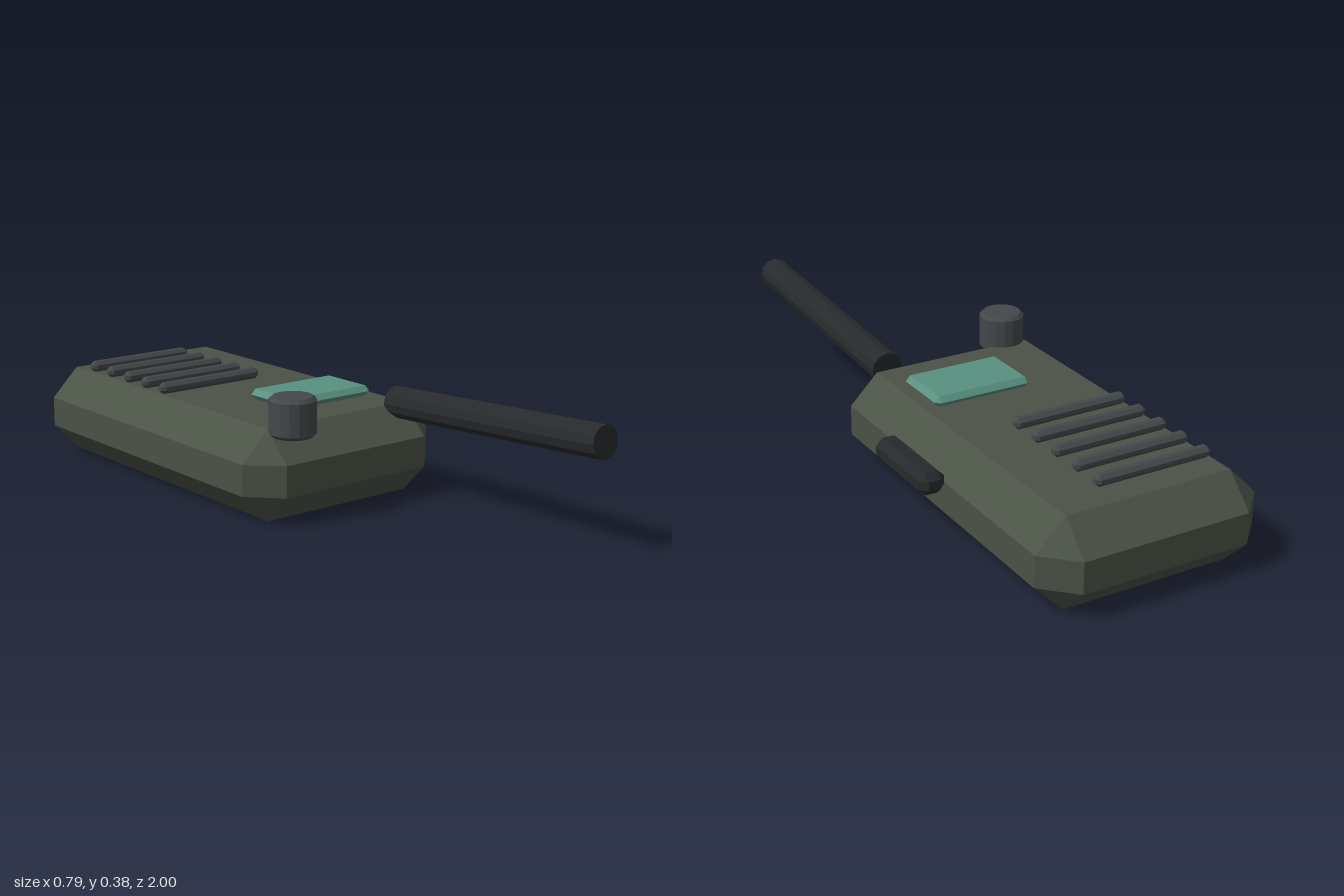
import * as THREE from 'three';
import { ConvexGeometry } from 'three/addons/geometries/ConvexGeometry.js';

const paint = (color) => new THREE.MeshStandardMaterial({ color, flatShading: true });

// Box with every edge cut at 45 degrees, given by its min and max corners
function chamferBox(min, max, bevel) {
  const centre = min.map((v, i) => (v + max[i]) / 2);
  const half = max.map((v, i) => (v - min[i]) / 2);
  const points = [];
  for (const sx of [-1, 1]) for (const sy of [-1, 1]) for (const sz of [-1, 1]) {
    for (let axis = 0; axis < 3; axis++) {
      const p = [sx, sy, sz].map((s, i) => s * (half[i] - (i === axis ? 0 : bevel)));
      points.push(new THREE.Vector3(...p));
    }
  }
  return new ConvexGeometry(points).translate(...centre);
}

export function createModel() {
  const group = new THREE.Group();
  const bodyMat = paint(0x4b5246);
  const darkMat = paint(0x272a2c);
  const greyMat = paint(0x44484a);
  const screenMat = paint(0x58907f);

  const add = (name, geometry, material) => {
    const mesh = new THREE.Mesh(geometry, material);
    mesh.name = name;
    group.add(mesh);
    return mesh;
  };

  // Case lying on its back
  add('body', chamferBox([-0.4, 0, -1], [0.315, 0.28, 0.245], 0.092), bodyMat);

  // Display panel
  add('screen', chamferBox([-0.13, 0.28, -0.178], [0.196, 0.313, 0.032], 0.016), screenMat);

  // Speaker grille bars
  for (let i = 0; i < 5; i++) {
    const z = -0.402 - i * 0.102;
    add('speakerBar' + (i + 1),
      chamferBox([-0.307, 0.28, z - 0.019], [0.07, 0.314, z + 0.019], 0.011), greyMat);
  }

  // Talk button on the side
  add('sideButton', chamferBox([0.315, 0.16, -0.452], [0.395, 0.23, -0.153], 0.021), darkMat);

  // Knob with chamfered rims
  const knobProfile = [[0, 0], [0.06, 0], [0.071, 0.011], [0.071, 0.109], [0.06, 0.12], [0, 0.12]]
    .map(([r, y]) => new THREE.Vector2(r, y));
  add('knob', new THREE.LatheGeometry(knobProfile, 16), greyMat).position.set(-0.246, 0.257, 0.193);

  // Slightly raised antenna
  const start = new THREE.Vector3(0.187, 0.286, 0.155);
  const end = new THREE.Vector3(0.187, 0.333, 0.998);
  const axis = end.clone().sub(start);
  const antenna = add('antenna', new THREE.CylinderGeometry(0.05, 0.05, axis.length(), 12), darkMat);
  antenna.position.copy(start).add(end).multiplyScalar(0.5);
  antenna.rotation.x = Math.atan2(axis.z, axis.y);

  return group;
}
